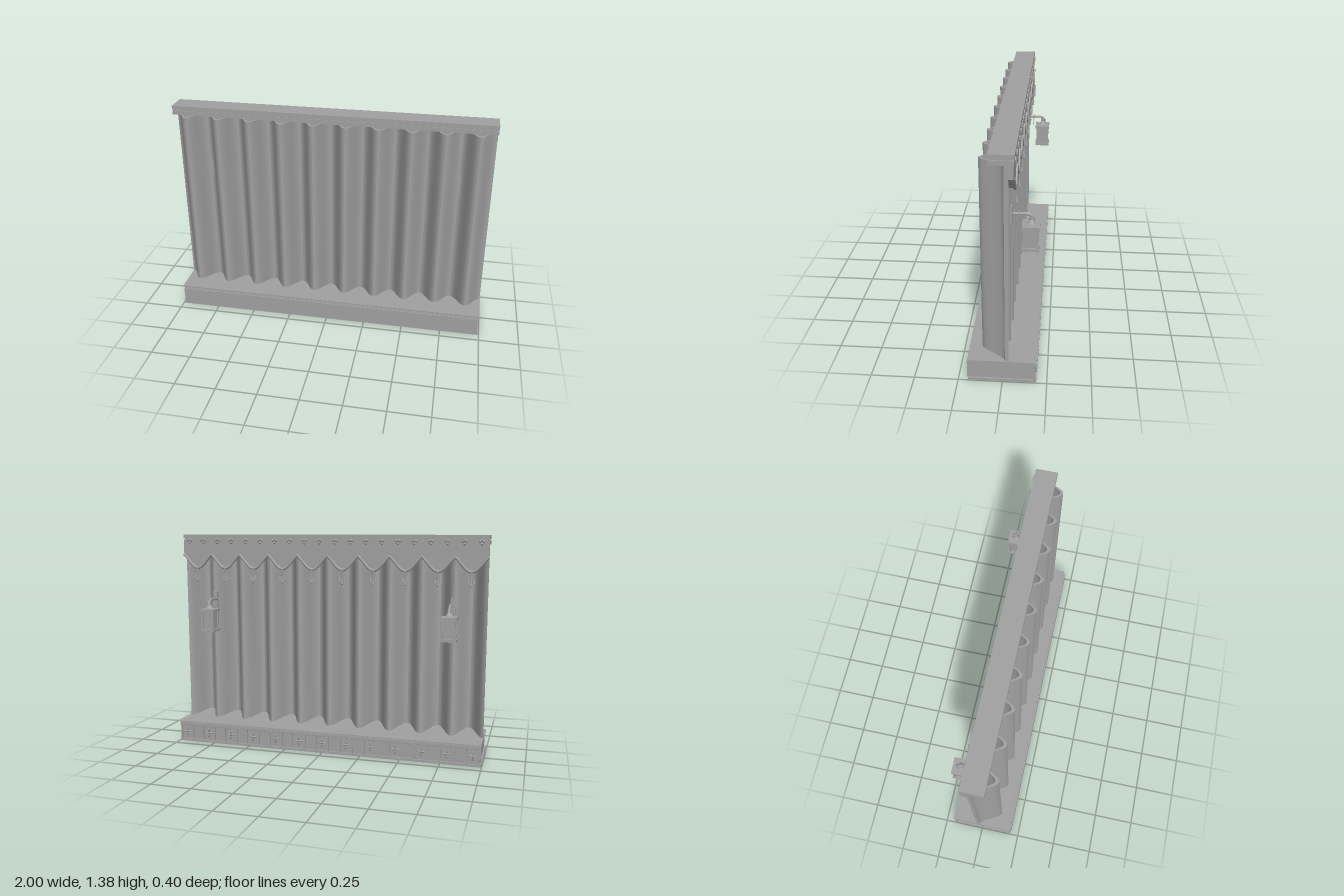
import * as THREE from 'three';
import { toCreasedNormals } from 'three/addons/utils/BufferGeometryUtils.js';

export function createModel() {
  const model = new THREE.Group();
  model.name = 'curtainWall';
  const grey = new THREE.MeshStandardMaterial({ color: 0xa0a0a0 });
  grey.name = 'grey';

  const add = (parent, name, geometry, x = 0, y = 0, z = 0) => {
    const mesh = new THREE.Mesh(geometry, grey);
    mesh.name = name;
    mesh.position.set(x, y, z);
    parent.add(mesh);
    return mesh;
  };
  // Box given by its limits on each axis
  const block = (parent, name, x0, x1, y0, y1, z0, z1) =>
    add(parent, name, new THREE.BoxGeometry(x1 - x0, y1 - y0, z1 - z0),
      (x0 + x1) / 2, (y0 + y1) / 2, (z0 + z1) / 2);
  const group = (name, x = 0, y = 0, z = 0) => {
    const g = new THREE.Group();
    g.name = name;
    g.position.set(x, y, z);
    model.add(g);
    return g;
  };

  // Plinth with a lip at the top and a foot rail
  block(model, 'plinthBody', -0.985, 0.985, 0.005, 0.125, -0.178, 0.192);
  block(model, 'plinthFront', -0.985, 0.985, 0.012, 0.12, 0.19, 0.2);
  block(model, 'plinthTop', -0.995, 0.995, 0.125, 0.135, -0.188, 0.188);
  block(model, 'plinthBackLip', -0.995, 0.995, 0.113, 0.128, -0.196, -0.17);
  block(model, 'plinthFootRail', -0.995, 0.995, 0, 0.014, -0.19, 0.195);

  // Frieze on the back of the plinth: beads, dividers and four-petal ornaments
  const bead = new THREE.SphereGeometry(0.005, 6, 4);
  for (let i = 0; i < 80; i++) add(model, 'friezeBead', bead, -0.9875 + i * 0.025, 0.108, -0.179);
  const petal = new THREE.SphereGeometry(1, 8, 6);
  for (let i = -6; i <= 6; i++) {
    const x = i * 0.158;
    for (const s of [-1, 1])
      block(model, 'friezeDivider', x + s * 0.042 - 0.004, x + s * 0.042 + 0.004, 0.014, 0.113, -0.187, -0.176);
    const flower = group('friezeFlower', x, 0.066, -0.183);
    for (const [dx, dy] of [[1, 0], [-1, 0], [0, 1], [0, -1]]) {
      const p = add(flower, 'petal', petal, dx * 0.014, dy * 0.016, 0);
      p.scale.set(dx ? 0.011 : 0.005, dy ? 0.014 : 0.005, 0.009);
    }
    add(flower, 'flowerHeart', petal, 0, 0, -0.006).scale.set(0.007, 0.007, 0.011);
  }

  // Curtain: a wavy strip raised upright, its hem rising towards the folds in front
  const wave = x => 0.0325 - 0.0675 * Math.cos(x * Math.PI * 10);
  const n = 160, half = 0.993;
  const outline = [];
  for (let i = 0; i <= n; i++) {
    const t = -1 + (2 * i) / n;
    outline.push(new THREE.Vector2(t * half, -wave(t) - 0.02));
  }
  for (let i = n; i >= 0; i--) {
    const t = -1 + (2 * i) / n;
    outline.push(new THREE.Vector2(t * half, -wave(t)));
  }
  const curtain = new THREE.ExtrudeGeometry(new THREE.Shape(outline), { depth: 1.32, bevelEnabled: false });
  curtain.rotateX(-Math.PI / 2);
  const pos = curtain.attributes.position;
  for (let i = 0; i < pos.count; i++)
    if (pos.getY(i) < 0.5) pos.setY(i, 0.137 + (pos.getZ(i) + 0.035) * 0.18);
  add(model, 'curtain', toCreasedNormals(curtain, 0.7));

  // Cornice in two steps with a groove between
  block(model, 'corniceTop', -0.995, 0.995, 1.35, 1.375, -0.07, 0.065);
  block(model, 'corniceGroove', -0.987, 0.987, 1.343, 1.35, -0.062, 0.058);
  block(model, 'corniceBottom', -0.995, 0.995, 1.318, 1.343, -0.066, 0.062);

  // Small trefoils along the back of the cornice
  for (let i = 0; i < 20; i++) {
    const trefoil = group('corniceTrefoil', -0.95 + i * 0.1, 1.335, -0.07);
    for (const [dx, dy] of [[-0.011, 0.003], [0.011, 0.003], [0, -0.012], [0, 0.008]])
      add(trefoil, 'leaf', petal, dx, dy, 0).scale.set(0.008, 0.009, 0.009);
  }

  // Scalloped valance with a rope along its lower edge
  const swag = [];
  for (let i = 0; i <= 200; i++) {
    const u = ((i % 20) - 10) / 10;
    const rise = 0.5 * u * u + 0.25 * (1 - Math.cos(Math.PI * u));
    swag.push(new THREE.Vector2(-0.995 + i * 0.00995, 1.157 + 0.088 * rise));
  }
  const valanceShape = new THREE.Shape([
    ...swag, new THREE.Vector2(0.995, 1.32), new THREE.Vector2(-0.995, 1.32)]);
  const valance = new THREE.ExtrudeGeometry(valanceShape, { depth: 0.028, bevelEnabled: false });
  add(model, 'valance', toCreasedNormals(valance, 0.6), 0, 0, -0.065);
  const ropePath = new THREE.CatmullRomCurve3(swag.map(p => new THREE.Vector3(p.x, p.y, -0.067)));
  add(model, 'valanceRope', new THREE.TubeGeometry(ropePath, 300, 0.0085, 8));

  // Tassels under each swag
  const drop = new THREE.CylinderGeometry(0.004, 0.009, 0.028, 8);
  for (let i = 0; i < 10; i++) {
    const tassel = group('tassel', -0.8955 + i * 0.199, 1.15, -0.075);
    add(tassel, 'tasselCord', new THREE.CylinderGeometry(0.006, 0.006, 0.05, 8), 0, -0.02, 0);
    block(tassel, 'tasselBar', -0.02, 0.02, -0.05, -0.042, -0.006, 0.006);
    for (const x of [-0.016, 0, 0.016]) add(tassel, 'tasselDrop', drop, x, x ? -0.048 : -0.062, 0);
    add(tassel, 'tasselTip', petal, 0, -0.078, 0).scale.setScalar(0.007);
  }

  // Wall lanterns on bent arms
  const armPath = new THREE.CatmullRomCurve3([
    [0.95, -0.03], [0.952, -0.08], [0.952, -0.125], [0.943, -0.145], [0.917, -0.163],
  ].map(([y, z]) => new THREE.Vector3(0, y, z)));
  for (const side of [-1, 1]) {
    const lamp = group(side > 0 ? 'leftLantern' : 'rightLantern', side * 0.78);
    const inner = side * 0.008;
    block(lamp, 'wallPlate', inner - 0.014, inner + 0.014, 0.895, 1.0, -0.042, -0.008);
    add(lamp, 'arm', new THREE.TubeGeometry(armPath, 24, 0.0085, 8));
    block(lamp, 'armScroll', -0.01, 0.01, 0.895, 0.965, -0.081, -0.075);
    add(lamp, 'finial', new THREE.CylinderGeometry(0.008, 0.024, 0.026, 10), 0, 0.912, -0.145);
    add(lamp, 'finialRing', new THREE.CylinderGeometry(0.016, 0.016, 0.01, 10), 0, 0.928, -0.148);
    block(lamp, 'lanternCap', -0.049, 0.049, 0.875, 0.894, -0.191, -0.094);
    block(lamp, 'lanternFoot', -0.049, 0.049, 0.747, 0.764, -0.191, -0.094);
    block(lamp, 'lanternGlass', -0.034, 0.034, 0.76, 0.878, -0.177, -0.108);
    for (const x of [-0.037, 0.037])
      for (const z of [-0.179, -0.106])
        block(lamp, 'lanternPost', x - 0.006, x + 0.006, 0.76, 0.878, z - 0.006, z + 0.006);
  }
  return model;
}
